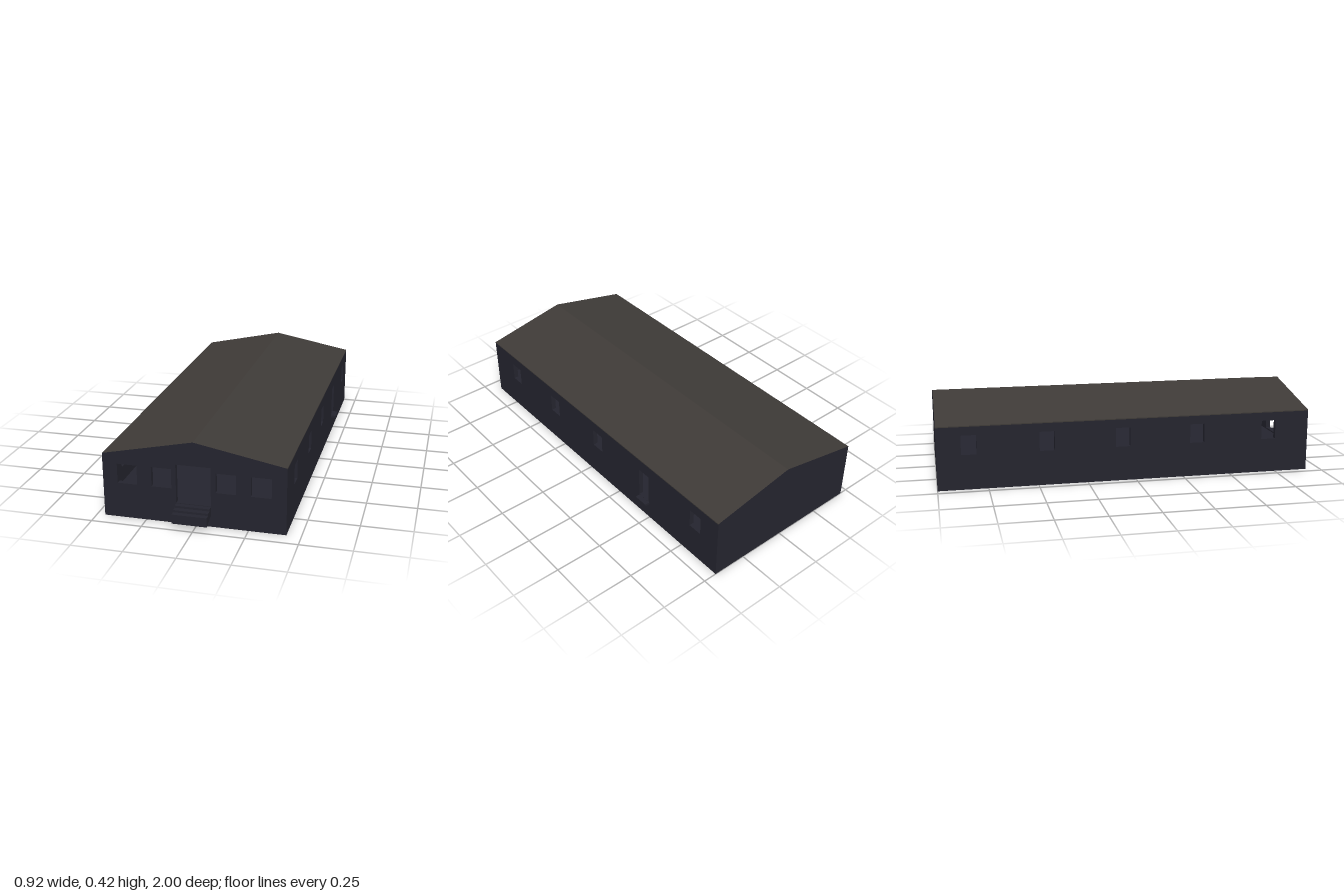
import * as THREE from 'three';

const X0 = -0.46, X1 = 0.43, RIDGE = -0.013;   // side faces and ridge line
const Z0 = -1, Z1 = 0.925;                     // back and front faces
const EAVE0 = 0.323, EAVE1 = 0.335, TOP = 0.419;
const WALL = 0.025, ROOF = 0.005;

const wallMat = new THREE.MeshStandardMaterial({ name: 'dark slate wall', color: 0x24242e });
const roofMat = new THREE.MeshStandardMaterial({ name: 'grey brown roof', color: 0x3e3a37 });
const beamMat = new THREE.MeshStandardMaterial({ name: 'rust beam', color: 0x7d4636 });

const polygon = (pts) => new THREE.Shape(pts.map(([x, y]) => new THREE.Vector2(x, y)));

// Upright slab with rectangular openings given as [left, right, bottom, top]
function slab(points, openings, depth) {
  const shape = polygon(points);
  for (const [a, b, c, d] of openings) {
    shape.holes.push(polygon([[a, c], [a, d], [b, d], [b, c]]));
  }
  return new THREE.ExtrudeGeometry(shape, { depth, bevelEnabled: false });
}

export function createModel() {
  const group = new THREE.Group();
  const add = (name, geometry, material, x = 0, y = 0, z = 0) => {
    const mesh = new THREE.Mesh(geometry, material);
    mesh.name = name;
    mesh.position.set(x, y, z);
    group.add(mesh);
    return mesh;
  };
  const box = (name, mat, x0, x1, y0, y1, z0, z1) =>
    add(name, new THREE.BoxGeometry(x1 - x0, y1 - y0, z1 - z0), mat,
      (x0 + x1) / 2, (y0 + y1) / 2, (z0 + z1) / 2);

  // Gable walls: the front has four windows and a door, the back is plain
  const gable = [[X0, 0], [X1, 0], [X1, EAVE1 - ROOF], [RIDGE, TOP - ROOF], [X0, EAVE0 - ROOF]];
  const frontOpenings = [-0.388, -0.219, 0.093, 0.261].map((x) => [x, x + 0.098, 0.177, 0.275]);
  frontOpenings.push([-0.099, 0.07, 0.105, 0.3]);
  add('frontWall', slab(gable, frontOpenings, WALL), wallMat, 0, 0, Z1 - WALL);
  add('backWall', slab(gable, [], WALL), wallMat, 0, 0, Z0);

  // Long walls: five openings each, the fourth on the +x side being a door
  const centres = [0.708, 0.322, -0.068, -0.455, -0.842];
  const sideWall = (name, x, eave, doorIndex) => {
    const openings = centres.map((z, i) => i === doorIndex
      ? [-z - 0.038, -z + 0.038, 0.1, 0.265]
      : [-z - 0.038, -z + 0.038, 0.177, 0.275]);
    const a = -Z1 + WALL, b = -Z0 - WALL;
    const geometry = slab([[a, 0], [b, 0], [b, eave], [a, eave]], openings, WALL);
    geometry.rotateY(Math.PI / 2);
    add(name, geometry, wallMat, x);
  };
  sideWall('rightWall', X1 - WALL, EAVE1 - ROOF, 3);
  sideWall('leftWall', X0, EAVE0 - ROOF, -1);

  // Thin pitched roof whose gable ends match the walls
  const roof = slab([
    [X0, EAVE0 - ROOF], [RIDGE, TOP - ROOF], [X1, EAVE1 - ROOF],
    [X1, EAVE1], [RIDGE, TOP], [X0, EAVE0],
  ], [], Z1 - Z0);
  add('roof', roof, [wallMat, roofMat], 0, 0, Z0);

  // Raised floor inside
  box('floor', wallMat, X0 + WALL, X1 - WALL, 0, 0.098, Z0 + WALL, Z1 - WALL);

  // Beams under the roof
  const beam = [
    [X0 + WALL, 0.3], [X1 - WALL, 0.3], [X1 - WALL, EAVE1 - ROOF],
    [RIDGE, TOP - 2 * ROOF], [X0 + WALL, EAVE0 - ROOF],
  ];
  for (const z of [-0.65, -0.12, 0.43]) {
    add('roofBeam', slab(beam, [], 0.02), beamMat, 0, 0, z - 0.01);
  }

  // Front steps, hung on the wall below the door
  for (let i = 0; i < 3; i++) {
    const z = Z1 + i * 0.025;
    box('frontStep', wallMat, -0.099, 0.07, 0.055 - i * 0.011, 0.102 - i * 0.011, z, z + 0.025);
  }

  // Side door step
  box('sideStep', wallMat, X1, 0.456, 0.087, 0.099, -0.497, -0.42);

  return group;
}
